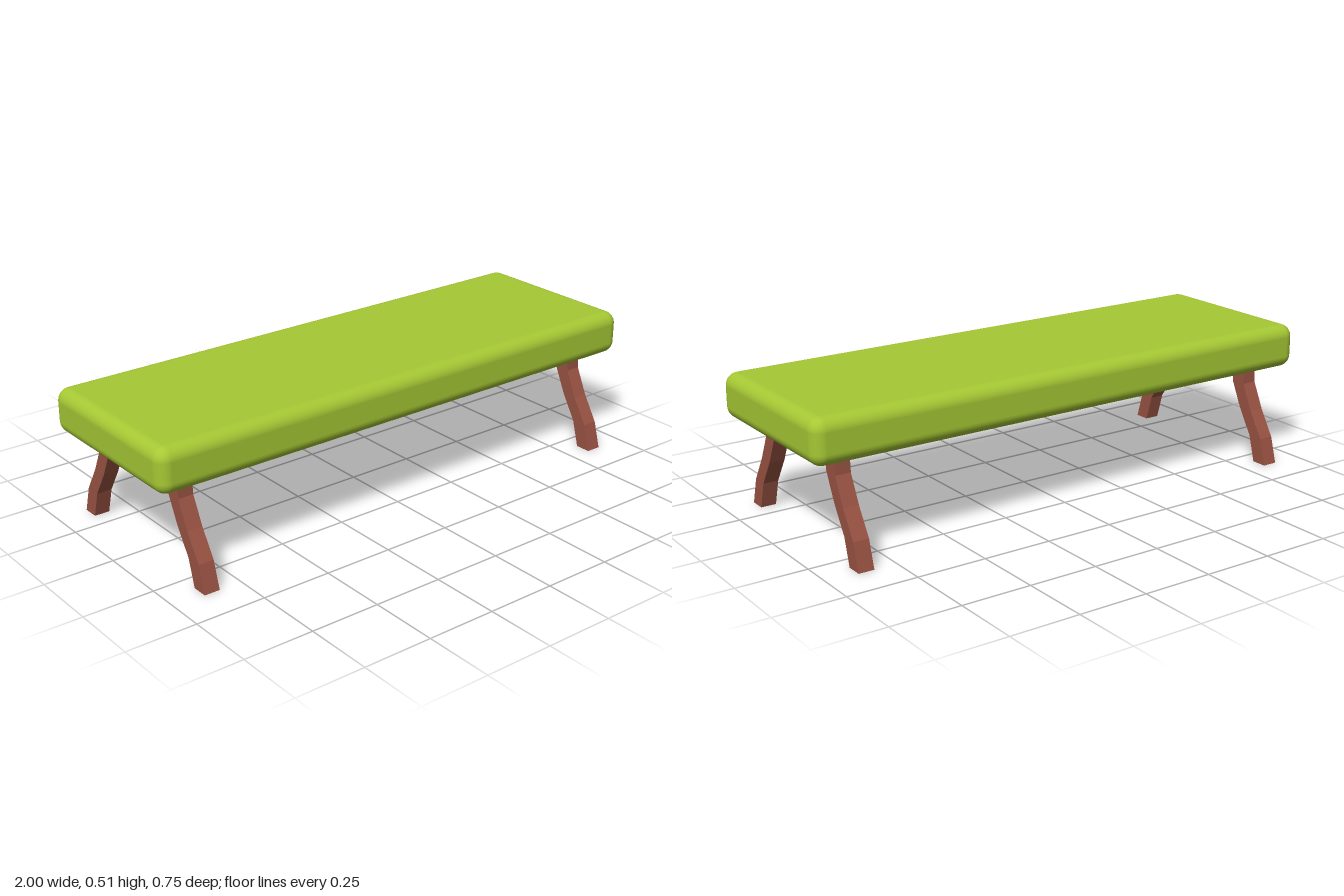
import * as THREE from 'three';
import { RoundedBoxGeometry } from 'three/addons/geometries/RoundedBoxGeometry.js';

export function createModel() {
  const bench = new THREE.Group();
  bench.name = 'bench';

  const greenFabric = new THREE.MeshStandardMaterial({ name: 'green fabric', color: 0xa6c834 });
  const brownWood = new THREE.MeshStandardMaterial({ name: 'brown wood', color: 0x9a5343 });

  // Padded seat with softly rounded edges
  const seat = new THREE.Mesh(new RoundedBoxGeometry(2, 0.16, 0.66, 6, 0.045), greenFabric);
  seat.name = 'seat';
  seat.position.y = 0.427;
  bench.add(seat);

  // Curved leg: inner edge as [z, y], given a constant width and thickness
  const legWidth = 0.058;
  const legThickness = 0.056;
  const innerEdge = [[0.315, 0], [0.287, 0.096], [0.229, 0.19], [0.184, 0.285], [0.18, 0.36]];
  const outerEdge = innerEdge.map(([z, y]) => [z + legWidth, y]).reverse();
  const profile = new THREE.Shape([...outerEdge, ...innerEdge].map(([z, y]) => new THREE.Vector2(z, y)));
  const legGeometry = new THREE.ExtrudeGeometry(profile, { depth: legThickness, bevelEnabled: false });
  legGeometry.translate(0, 0, -legThickness / 2);
  legGeometry.rotateY(-Math.PI / 2);

  // Four legs, the back pair turned around
  for (const [end, turn] of [['front', 0], ['back', Math.PI]]) {
    for (const [side, x] of [['Left', 0.86], ['Right', -0.86]]) {
      const leg = new THREE.Mesh(legGeometry, brownWood);
      leg.name = `${end}${side}Leg`;
      leg.position.x = x;
      leg.rotation.y = turn;
      bench.add(leg);
    }
  }

  return bench;
}
